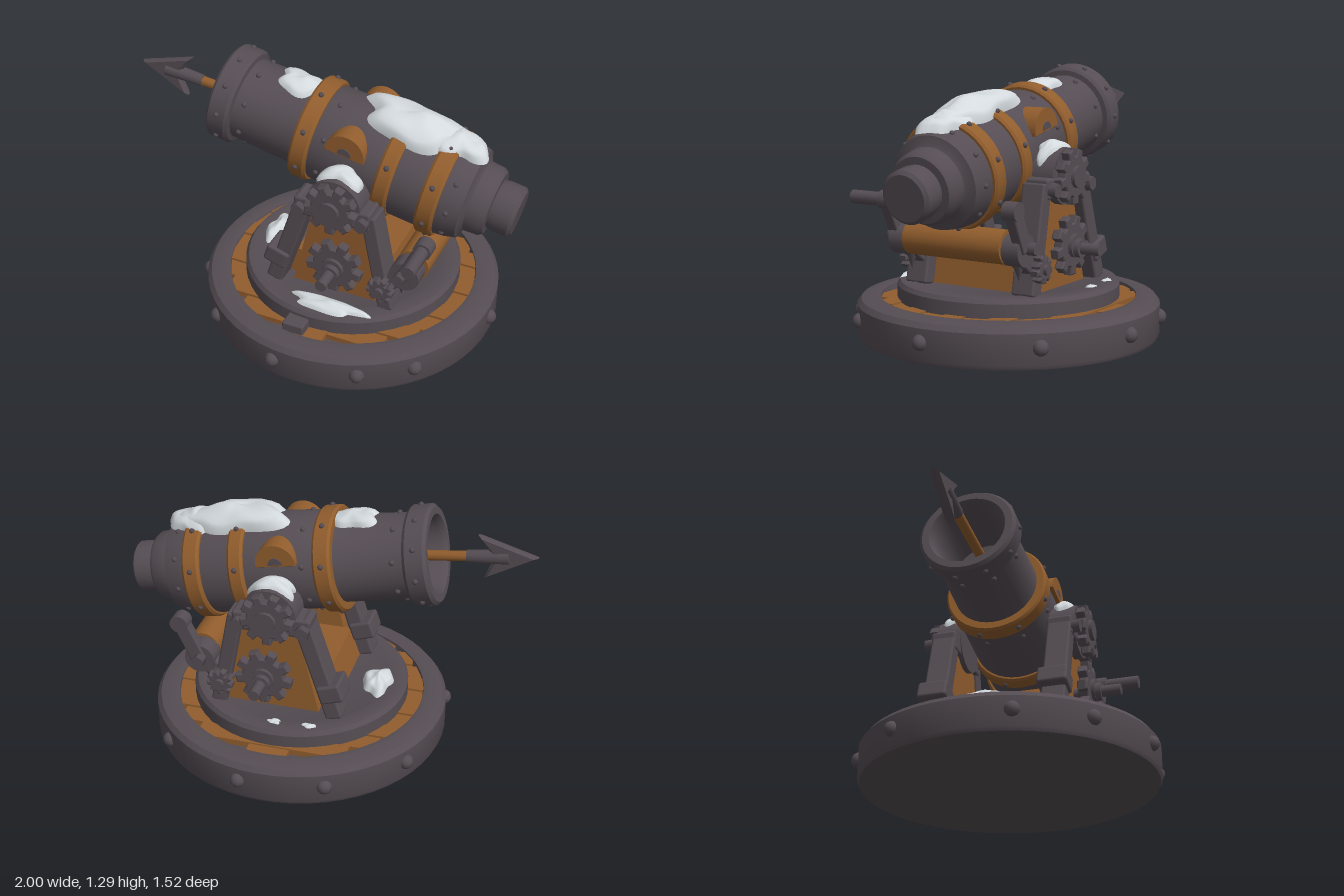
import * as THREE from 'three';
import { toCreasedNormals } from 'three/addons/utils/BufferGeometryUtils.js';
import { RoundedBoxGeometry } from 'three/addons/geometries/RoundedBoxGeometry.js';

const mat = (name, color, side = THREE.FrontSide) => {
  const m = new THREE.MeshStandardMaterial({ color, side });
  m.name = name;
  return m;
};

export function createModel() {
  const iron = mat('dark iron', 0x554d53);
  const wood = mat('brown wood', 0x915d2d);
  const snow = mat('snow', 0xd3d9dd, THREE.DoubleSide);
  const model = new THREE.Group();
  model.name = 'harpoonCannon';

  const add = (parent, name, geo, material, x = 0, y = 0, z = 0) => {
    const m = new THREE.Mesh(geo, material);
    m.name = name;
    m.position.set(x, y, z);
    parent.add(m);
    return m;
  };
  const lathe = (pts, n = 40) =>
    toCreasedNormals(new THREE.LatheGeometry(pts.map(p => new THREE.Vector2(...p)), n), 0.6);
  const cylZ = (r, len, n = 16) => new THREE.CylinderGeometry(r, r, len, n).rotateX(Math.PI / 2);
  const box = (w, h, d) => new RoundedBoxGeometry(w, h, d, 2, Math.min(w, h, d) * 0.15);
  // Bar between two points in the xy plane
  const beam = (parent, name, a, b, w, depth, z, material = iron) => {
    const dx = b[0] - a[0], dy = b[1] - a[1];
    const m = add(parent, name, box(Math.hypot(dx, dy), w, depth), material, (a[0] + b[0]) / 2, (a[1] + b[1]) / 2, z);
    m.rotation.z = Math.atan2(dy, dx);
    return m;
  };
  const extrude = (pts, depth, bevel = 0) => {
    const g = new THREE.ExtrudeGeometry(new THREE.Shape(pts.map(p => new THREE.Vector2(...p))), {
      depth, bevelEnabled: bevel > 0, bevelSize: bevel, bevelThickness: bevel, bevelSegments: 1 });
    return g.translate(0, 0, -depth / 2);
  };
  // Wavy snow patch; place(u, v, h) lays it on a surface
  const snowPatch = (parent, name, a, b, h, phase, place) => {
    const g = new THREE.RingGeometry(0.001, 1, 48, 8), p = g.attributes.position;
    for (let i = 0; i < p.count; i++) {
      const u = p.getX(i), v = p.getY(i), r = Math.min(1, Math.hypot(u, v)), t = Math.atan2(v, u);
      const w = 1 + 0.14 * Math.sin(3 * t + phase) + 0.1 * Math.sin(5 * t + 2 * phase);
      const lump = 1 + 0.15 * Math.sin(7 * u + phase) * Math.cos(4 * v);
      p.setXYZ(i, ...place(u * a * w, v * b * w, h * lump * Math.sqrt(1 - r * r)));
    }
    g.computeVertexNormals();
    add(parent, name, g, snow);
  };

  // Round base with rim, plank floor and turntable
  const base = new THREE.Group();
  base.name = 'base';
  base.position.x = 0.14;
  model.add(base);
  add(base, 'rim', lathe([[0, 0], [0.725, 0], [0.735, 0.02], [0.735, 0.165], [0.715, 0.19], [0.65, 0.205],
    [0.62, 0.2], [0.61, 0.16], [0, 0.16]], 56), iron);
  for (let i = 0; i < 12; i++) {
    const z = -0.605 + i * 0.11, edge = Math.abs(z) + 0.05;
    const half = Math.sqrt(Math.max(0.66 ** 2 - edge ** 2, 0.01));
    add(base, 'floorPlank', new THREE.BoxGeometry(half * 2, 0.03, 0.104), wood, 0, 0.172 + (i % 2) * 0.006, Math.sign(z) * Math.min(Math.abs(z), 0.58));
  }
  for (const deg of [-82, -44, -115, -150, 162, 132, 98, 65, 43, 0]) {
    const a = deg * Math.PI / 180;
    add(base, 'rimBolt', new THREE.SphereGeometry(0.038, 10, 8), iron, Math.cos(a) * 0.73, 0.1, Math.sin(a) * 0.73);
  }
  add(base, 'turntable', lathe([[0, 0.17], [0.54, 0.17], [0.54, 0.255], [0.525, 0.275], [0.46, 0.28], [0.44, 0.27], [0, 0.27]], 48), iron);
  add(base, 'turntableLatch', box(0.11, 0.06, 0.1), iron, -0.05, 0.21, 0.56);

  // Tilted barrel, its axis along local x
  const barrel = new THREE.Group();
  barrel.name = 'barrel';
  barrel.position.set(0.2, 0.911, 0);
  barrel.rotation.z = -11 * Math.PI / 180;
  model.add(barrel);
  const lay = g => g.rotateZ(-Math.PI / 2);
  add(barrel, 'barrelTube', lay(lathe([[0, -0.4], [0.17, -0.42], [0.175, -0.72], [0.19, -0.75], [0.225, -0.75], [0.24, -0.735],
    [0.24, -0.65], [0.228, -0.635], [0.203, -0.63], [0.213, -0.26], [0.238, -0.2], [0.245, 0.1], [0.245, 0.44], [0.238, 0.5],
    [0.222, 0.56], [0.19, 0.57], [0.175, 0.58], [0.17, 0.65], [0.155, 0.67], [0.12, 0.672], [0.125, 0.7], [0.125, 0.775],
    [0.108, 0.79], [0, 0.79]])), iron);
  for (const [s, r, w] of [[-0.25, 0.258, 0.045], [0.18, 0.265, 0.04], [0.41, 0.265, 0.045]]) {
    add(barrel, 'woodBand', lay(lathe([[0.2, s - w], [r - 0.01, s - w], [r, s - w + 0.012], [r, s + w - 0.012], [r - 0.01, s + w], [0.2, s + w]])), wood);
  }
  // Rivets around the muzzle, tube and bands
  for (const [s, r, n] of [[-0.69, 0.24, 10], [-0.58, 0.205, 8], [-0.25, 0.258, 8], [-0.15, 0.238, 8], [0.18, 0.265, 8], [0.41, 0.265, 8], [0.5, 0.235, 10]]) {
    for (let i = 0; i < n; i++) {
      const a = (i + 0.4) / n * Math.PI * 2;
      add(barrel, 'rivet', new THREE.SphereGeometry(0.014, 7, 5), iron, s, Math.cos(a) * r, Math.sin(a) * r);
    }
  }
  for (const side of [1, -1]) {
    const half = (r, d) => new THREE.CylinderGeometry(r, r, d, 16, 1, false, Math.PI / 2, Math.PI).rotateX(Math.PI / 2);
    const hatch = add(barrel, 'sideArch', half(0.1, 0.13), wood, -0.03, 0.1, side * 0.18);
    add(hatch, 'archOpening', half(0.035, 0.14), iron);
    add(hatch, 'archSill', box(0.2, 0.02, 0.13), wood);
  }
  const onBarrel = (s0, R) => (u, v, h) => [s0 + u, (R + h) * Math.cos(v / R), -(R + h) * Math.sin(v / R)];
  snowPatch(barrel, 'muzzleSnow', 0.13, 0.09, 0.035, 1, onBarrel(-0.37, 0.212));
  snowPatch(barrel, 'barrelSnow', 0.28, 0.14, 0.075, 0.6, onBarrel(0.22, 0.242));
  snowPatch(barrel, 'rearSnow', 0.14, 0.11, 0.06, 2.2, onBarrel(0.43, 0.235));

  // Harpoon
  const harpoon = new THREE.Group();
  harpoon.name = 'harpoon';
  harpoon.position.set(-1, 1.105, 0);
  harpoon.rotation.z = -7 * Math.PI / 180;
  model.add(harpoon);
  add(harpoon, 'shaft', lay(new THREE.CylinderGeometry(0.025, 0.025, 0.62, 10)), wood, 0.6);
  add(harpoon, 'socket', lay(new THREE.CylinderGeometry(0.03, 0.038, 0.2, 10)), iron, 0.23);
  add(harpoon, 'arrowHead', extrude([[0.015, 0], [0.24, -0.095], [0.2, -0.03], [0.2, 0.03], [0.25, 0.1]], 0.016, 0.015), iron);

  // Toothed gear facing z
  const gear = (parent, name, r, x, y, z) => {
    const pts = [], teeth = 9;
    for (let i = 0; i < teeth; i++) {
      for (const [f, k] of [[0, 0.74], [0.45, 0.74], [0.55, 1], [0.9, 1]]) {
        const a = (i + f) / teeth * Math.PI * 2;
        pts.push([Math.cos(a) * r * k, Math.sin(a) * r * k]);
      }
    }
    const g = add(parent, name, extrude(pts, 0.035, 0.006), iron, x, y, z);
    add(g, 'gearHub', cylZ(r * 0.42, 0.085, 12), iron);
    return g;
  };

  // Cradle: side frames, gears, cranks, mirrored in z
  add(model, 'lowerBlock', extrude([[-0.1, 0.27], [0.42, 0.27], [0.4, 0.41], [-0.05, 0.41]], 0.52), wood);
  for (const side of [1, -1]) {
    const frame = new THREE.Group();
    frame.name = side > 0 ? 'frontFrame' : 'backFrame';
    model.add(frame);
    const z = side * 0.3;
    add(frame, 'sidePanel', extrude([[-0.04, 0.27], [0.43, 0.27], [0.35, 0.78], [0.08, 0.78]], 0.06), wood, 0, 0, side * 0.285);
    beam(frame, 'slantedPost', [-0.13, 0.27], [0.04, 0.8], 0.085, 0.12, z);
    beam(frame, 'postBracket', [-0.125, 0.37], [-0.095, 0.46], 0.12, 0.15, z);
    beam(frame, 'rearPost', [0.46, 0.27], [0.36, 0.78], 0.075, 0.12, z);
    add(frame, 'bearingBlock', box(0.39, 0.1, 0.13), iron, 0.18, 0.755, z);
    add(frame, 'bearing', cylZ(0.135, 0.13, 24), iron, 0.19, 0.8, side * 0.295);
    add(frame, 'bearingBolt', cylZ(0.035, 0.05, 6), iron, 0.02, 0.75, side * 0.375);
    add(frame, 'bearingBolt', cylZ(0.035, 0.05, 6), iron, 0.34, 0.75, side * 0.375);
    gear(frame, 'upperGear', 0.125, 0.19, 0.8, side * 0.385);
    gear(frame, 'lowerGear', 0.135, 0.21, 0.48, side * 0.385);
    gear(frame, 'smallGear', 0.06, 0.44, 0.4, side * 0.37);
    add(frame, 'lowerAxle', cylZ(0.028, 0.24, 12), iron, 0.21, 0.47, side * 0.43);
    add(frame, 'axleCollar', cylZ(0.045, 0.05, 12), iron, 0.21, 0.47, side * 0.43);
    beam(frame, 'rollerBracket', [0.4, 0.38], [0.57, 0.5], 0.09, 0.08, z);
    // Crank at the roller's end
    add(frame, 'crankPivot', cylZ(0.075, 0.1, 18), iron, 0.55, 0.5, side * 0.31);
    beam(frame, 'crankArm', [0.55, 0.5], [0.645, 0.7], 0.075, 0.055, side * 0.345);
    add(frame, 'crankEnd', cylZ(0.045, 0.07, 14), iron, 0.64, 0.69, side * 0.345);
    add(frame, 'crankNut', cylZ(0.03, 0.06, 6), iron, 0.54, 0.51, side * 0.38);
    add(frame, 'pawl', new THREE.ConeGeometry(0.035, 0.1, 8).rotateX(Math.PI), iron, 0.52, 0.4, z);
    // Snow over the bearing
    snowPatch(frame, 'bearingSnow', 0.14, 0.065, 0.04, 2 + side, (u, v, h) =>
      [0.19 + (0.125 + h) * Math.sin(u / 0.135), 0.8 + (0.125 + h) * Math.cos(u / 0.135), side * 0.28 - v]);
  }
  add(model, 'crankHandle', cylZ(0.033, 0.2, 14), iron, 0.64, 0.69, 0.45);
  add(model, 'roller', cylZ(0.08, 0.54, 24), wood, 0.56, 0.51, 0);

  // Snow lying on the turntable
  for (const [x, z, a, b, h, ph] of [[0.2, 0.45, 0.19, 0.055, 0.035, 0.5], [-0.26, 0, 0.075, 0.11, 0.06, 2],
    [0.14, -0.46, 0.035, 0.025, 0.015, 1], [-0.03, -0.45, 0.04, 0.02, 0.015, 3]]) {
    snowPatch(model, 'groundSnow', a, b, h, ph, (u, v, k) => [x + u, 0.272 + k, z - v]);
  }
  return model;
}
